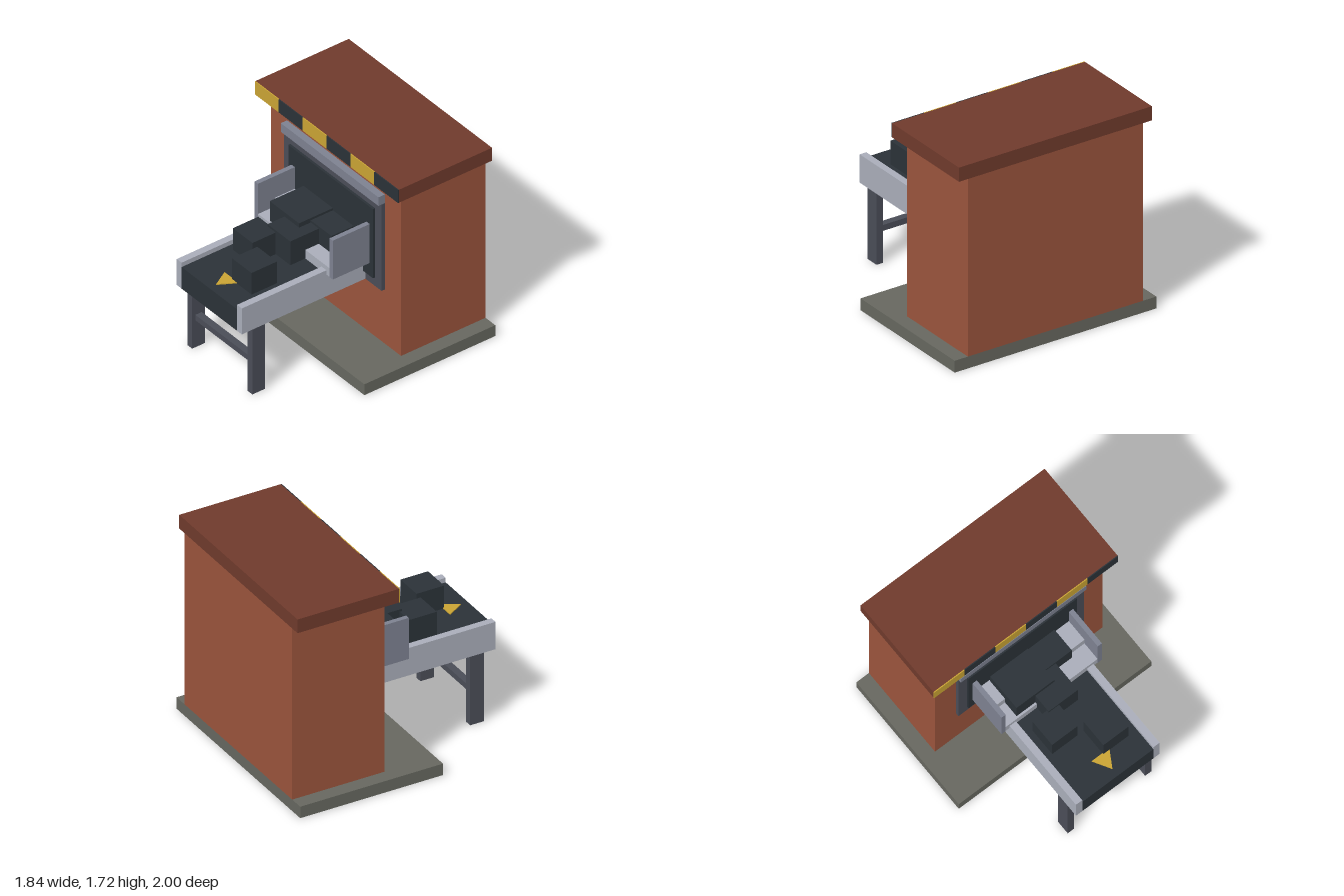
import * as THREE from 'three';

function mat(name, color) {
  const m = new THREE.MeshStandardMaterial({ color });
  m.name = name;
  return m;
}

export function createModel() {
  const brick = mat('brick', 0x9a543c);
  const roofRed = mat('roofRed', 0x6f3a2c);
  const concrete = mat('concrete', 0x66675f);
  const charcoal = mat('charcoal', 0x2b3238);
  const darkSteel = mat('darkSteel', 0x4a4d57);
  const midSteel = mat('midSteel', 0x7d8190);
  const lightSteel = mat('lightSteel', 0xa9adb9);
  const yellow = mat('yellow', 0xc9a334);

  const group = new THREE.Group();
  group.name = 'furnaceWithConveyor';

  // Box given by its lower and upper limits on each axis
  function box(name, material, [x0, x1], [y0, y1], [z0, z1]) {
    const mesh = new THREE.Mesh(new THREE.BoxGeometry(x1 - x0, y1 - y0, z1 - z0), material);
    mesh.position.set((x0 + x1) / 2, (y0 + y1) / 2, (z0 + z1) / 2);
    mesh.name = name;
    group.add(mesh);
  }
  // The same box on both sides
  function pair(name, material, [x0, x1], y, z) {
    box(name + 'Left', material, [x0, x1], y, z);
    box(name + 'Right', material, [-x1, -x0], y, z);
  }

  // Building
  box('baseSlab', concrete, [-0.92, 0.92], [0, 0.1], [-1, 0.24]);
  box('body', brick, [-0.8, 0.8], [0.1, 1.6], [-1, -0.2]);
  box('roof', roofRed, [-0.88, 0.88], [1.6, 1.72], [-1, -0.118]);

  // Hazard stripes along the roof edge
  const w = 1.76 / 6;
  for (let i = 0; i < 6; i++) {
    const x = -0.88 + i * w;
    box('roofStripe' + (i + 1), i % 2 ? charcoal : yellow, [x, x + w], [1.6, 1.72], [-0.118, -0.11]);
  }

  // Opening
  box('openingFrame', darkSteel, [-0.6, 0.6], [0.6, 1.4], [-0.2, -0.17]);
  box('opening', charcoal, [-0.52, 0.52], [0.68, 1.32], [-0.17, -0.15]);
  box('lintel', midSteel, [-0.6, 0.6], [1.4, 1.48], [-0.2, -0.14]);

  // Conveyor
  box('belt', charcoal, [-0.34, 0.34], [0.6, 0.8], [-0.18, 1]);
  pair('rail', lightSteel, [0.34, 0.4], [0.6, 0.84], [-0.18, 1]);
  pair('leg', darkSteel, [0.34, 0.4], [0, 0.6], [0.78, 0.9]);
  box('legBrace', darkSteel, [-0.34, 0.34], [0.25, 0.3], [0.81, 0.87]);

  // Stepped chute between side guards
  pair('guard', midSteel, [0.44, 0.48], [0.8, 1.16], [-0.17, 0.2]);
  box('lowerStep', lightSteel, [-0.44, 0.44], [0.8, 0.88], [-0.17, 0.198]);
  box('upperStep', lightSteel, [-0.44, 0.44], [0.88, 0.96], [-0.17, 0.04]);

  // Load on the belt
  const lumps = [
    [[-0.32, 0.04], [0.88, 1.06], [-0.14, 0.18]],
    [[0.04, 0.295], [0.88, 1.04], [-0.14, 0.07]],
    [[-0.14, 0.14], [0.8, 1.02], [0.06, 0.34]],
    [[-0.28, -0.04], [0.8, 1.0], [0.32, 0.56]],
    [[0.02, 0.26], [0.8, 1.0], [0.56, 0.8]],
  ];
  lumps.forEach((l, i) => box('lump' + (i + 1), charcoal, ...l));

  // Direction arrow on the belt, pointing forward
  const tri = new THREE.Shape([
    new THREE.Vector2(-0.085, 0.79),
    new THREE.Vector2(0.085, 0.79),
    new THREE.Vector2(0, 0.935),
  ]);
  const arrow = new THREE.Mesh(
    new THREE.ExtrudeGeometry(tri, { depth: 0.008, bevelEnabled: false }), yellow);
  arrow.rotation.x = Math.PI / 2;
  arrow.position.y = 0.808;
  arrow.name = 'beltArrow';
  group.add(arrow);

  return group;
}
